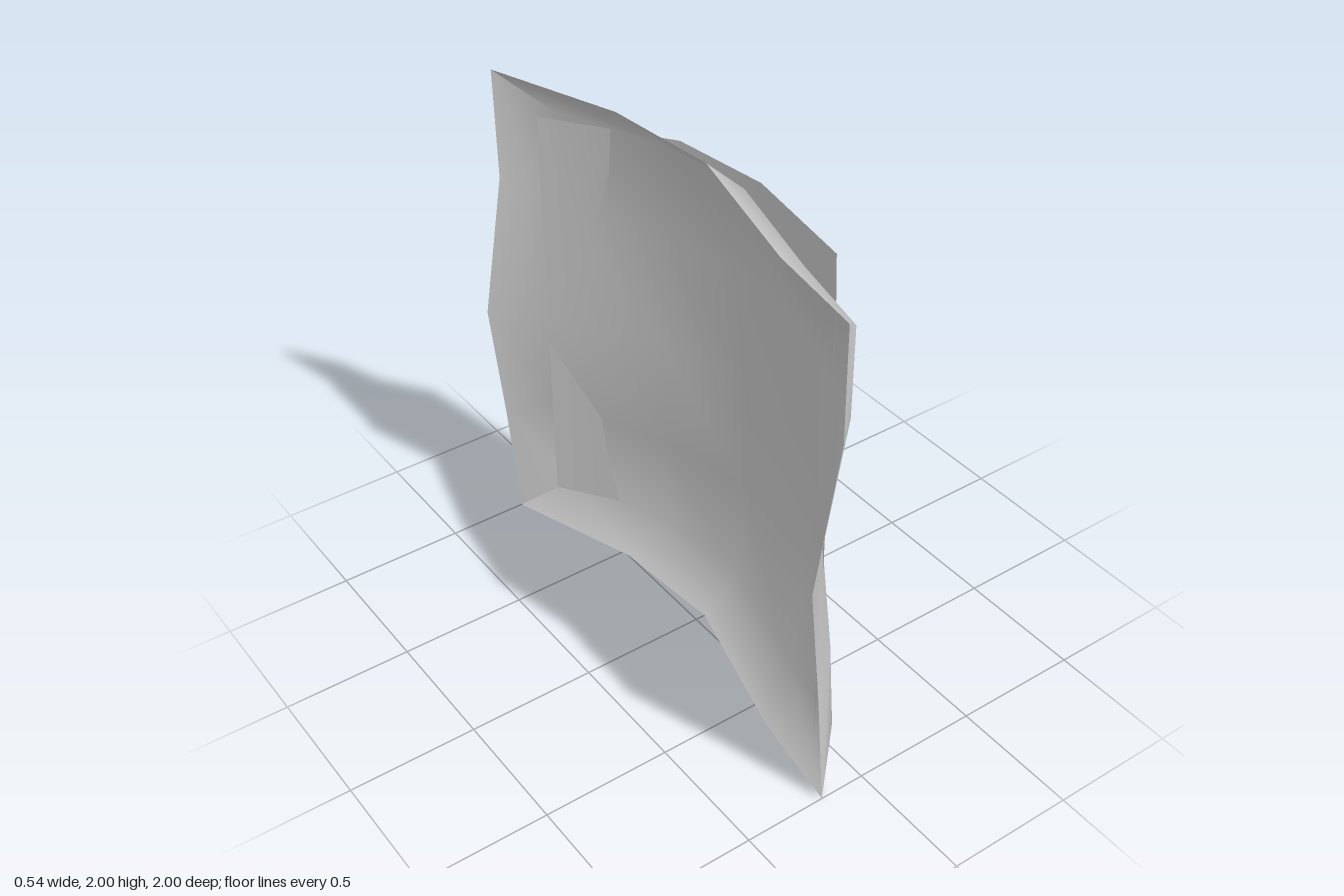
import * as THREE from 'three';

// Smooth, open surface from rows of [x, y, z] points (rows go up, points run towards +z)
function surface(name, rows) {
  const cols = rows[0].length;
  const index = [];
  for (let r = 0; r < rows.length - 1; r++) {
    for (let c = 0; c < cols - 1; c++) {
      const a = r * cols + c, b = a + 1, d = a + cols, e = d + 1;
      index.push(a, d, b, b, d, e);
    }
  }
  const geometry = new THREE.BufferGeometry();
  geometry.setAttribute('position', new THREE.Float32BufferAttribute(rows.flat(2), 3));
  geometry.setIndex(index);
  geometry.computeVertexNormals();
  const mesh = new THREE.Mesh(geometry, new THREE.MeshStandardMaterial({ color: 0xcccccc, side: THREE.DoubleSide }));
  mesh.name = name;
  return mesh;
}

export function createModel() {
  const group = new THREE.Group();
  group.name = 'curvedShield';

  // Inner field of the sheet: bulge x for each height and z
  const innerZ = [-0.85, -0.4, 0, 0.5, 0.85];
  const innerY = [0.15, 0.55, 1, 1.5, 1.85];
  const bulge = [
    [-0.02, 0.15, 0.2, 0.06, -0.02],
    [-0.04, 0.14, 0.22, 0.155, -0.05],
    [-0.11, 0.15, 0.235, 0.15, -0.115],
    [-0.04, 0.15, 0.22, 0.12, -0.02],
    [-0.02, 0.155, 0.2, 0.06, -0.02],
  ];

  // Rim: top and bottom edges share one curve, so do the two upright edges
  const rimZ = [-1, -0.47, 0, 0.6, 1];
  const rimX = [-0.18, 0, 0.04, -0.12, -0.18];
  const sideY = [0, 0.5, 1, 1.56, 2];
  const sideX = [-0.18, -0.22, -0.27, -0.175, -0.18];

  // The corners repeat, so the rim strips meet in a mitre
  const rimRow = (y) => {
    const row = rimZ.map((z, i) => [rimX[i], y, z]);
    return [row[0], ...row, row[4]];
  };
  const innerRows = innerY.map((y, r) => [
    [sideX[r], sideY[r], -1],
    ...innerZ.map((z, c) => [bulge[r][c], y, z]),
    [sideX[r], sideY[r], 1],
  ]);
  group.add(surface('curvedSheet', [rimRow(0), ...innerRows, rimRow(2)]));

  // Upright panel, bent in one direction, crossing the sheet near its ends
  const panel = [[-0.09, -0.85], [0.22, -0.4], [0.27, 0], [0.19, 0.5], [-0.1, 0.85]];
  group.add(surface('curvedPanel', [0.15, 1.85].map((y) => panel.map(([x, z]) => [x, y, z]))));

  return group;
}
